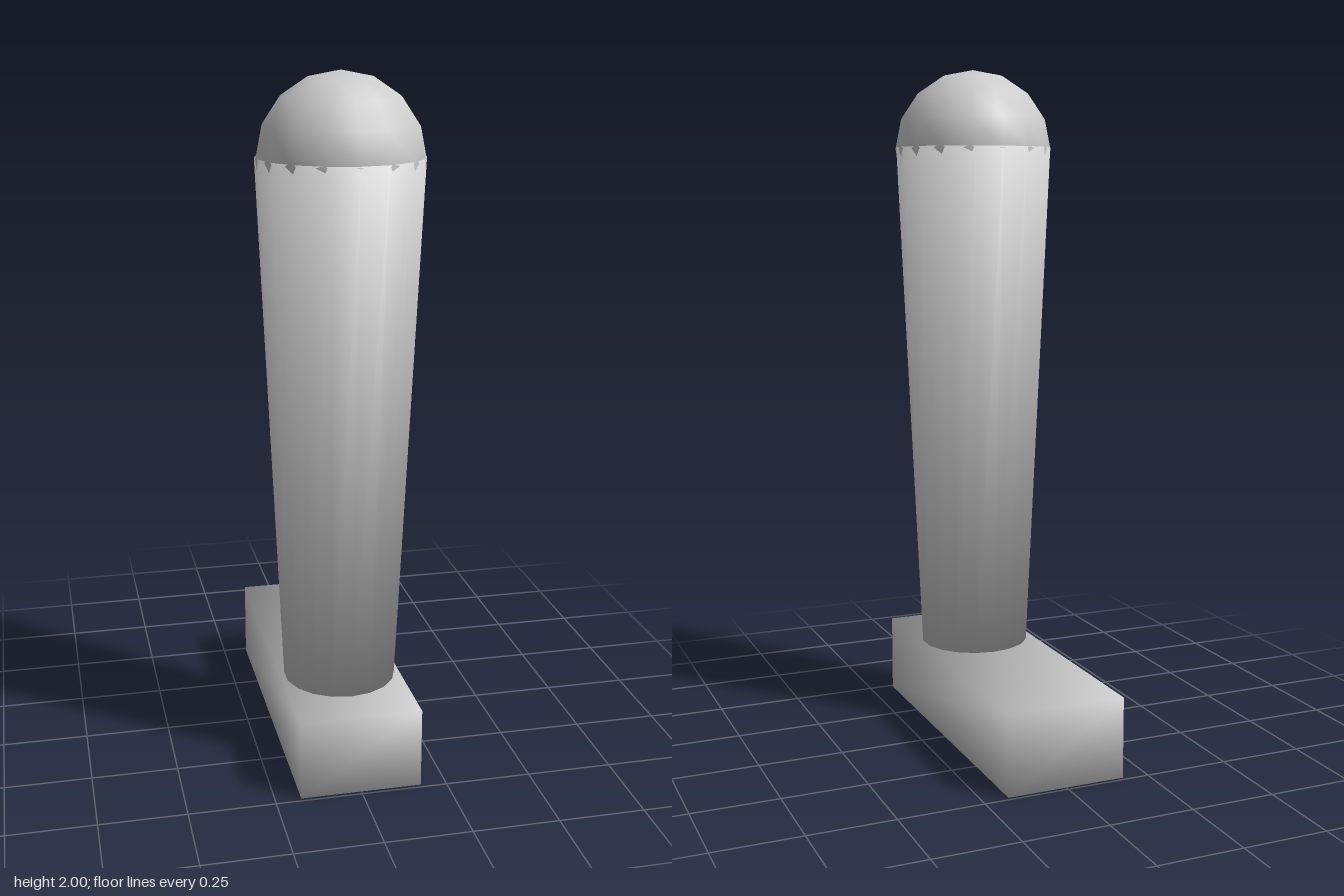
import * as THREE from 'three';

const grey = new THREE.MeshStandardMaterial({ color: 0xcccccc });
grey.name = 'plain grey';

// Replace normals by a rule on vertex position, for soft shading across corners
function softNormals(geometry, rule) {
  const p = geometry.attributes.position;
  const n = new THREE.Vector3();
  for (let i = 0; i < p.count; i++) {
    rule(n, p.getX(i), p.getY(i), p.getZ(i)).normalize();
    geometry.attributes.normal.setXYZ(i, n.x, n.y, n.z);
  }
  return geometry;
}

function addPart(group, name, geometry, y, z) {
  const mesh = new THREE.Mesh(geometry, grey);
  mesh.name = name;
  mesh.position.set(0, y, z);
  group.add(mesh);
}

export function createModel() {
  const model = new THREE.Group();
  model.name = 'lever';
  const stemZ = 0.195;

  // Long block, shaded smoothly over its shared corners
  const base = softNormals(new THREE.BoxGeometry(0.352, 0.236, 0.976),
    (n, x, y, z) => n.set(Math.sign(x), Math.sign(y), Math.sign(z)));
  addPart(model, 'base', base, 0.118, 0);

  // Tapered stem, wider at the top, rims shaded into the end caps
  const stem = softNormals(new THREE.CylinderGeometry(0.235, 0.165, 1.534, 18),
    (n, x, y, z) => {
      const r = Math.hypot(x, z);
      return r < 0.01 ? n.set(0, Math.sign(y), 0) : n.set(x / r, Math.sign(y), z / r);
    });
  addPart(model, 'stem', stem, 0.236 + 0.767, stemZ);

  // Rounded knob
  addPart(model, 'knob', new THREE.SphereGeometry(0.235, 16, 8), 1.765, stemZ);
  return model;
}
